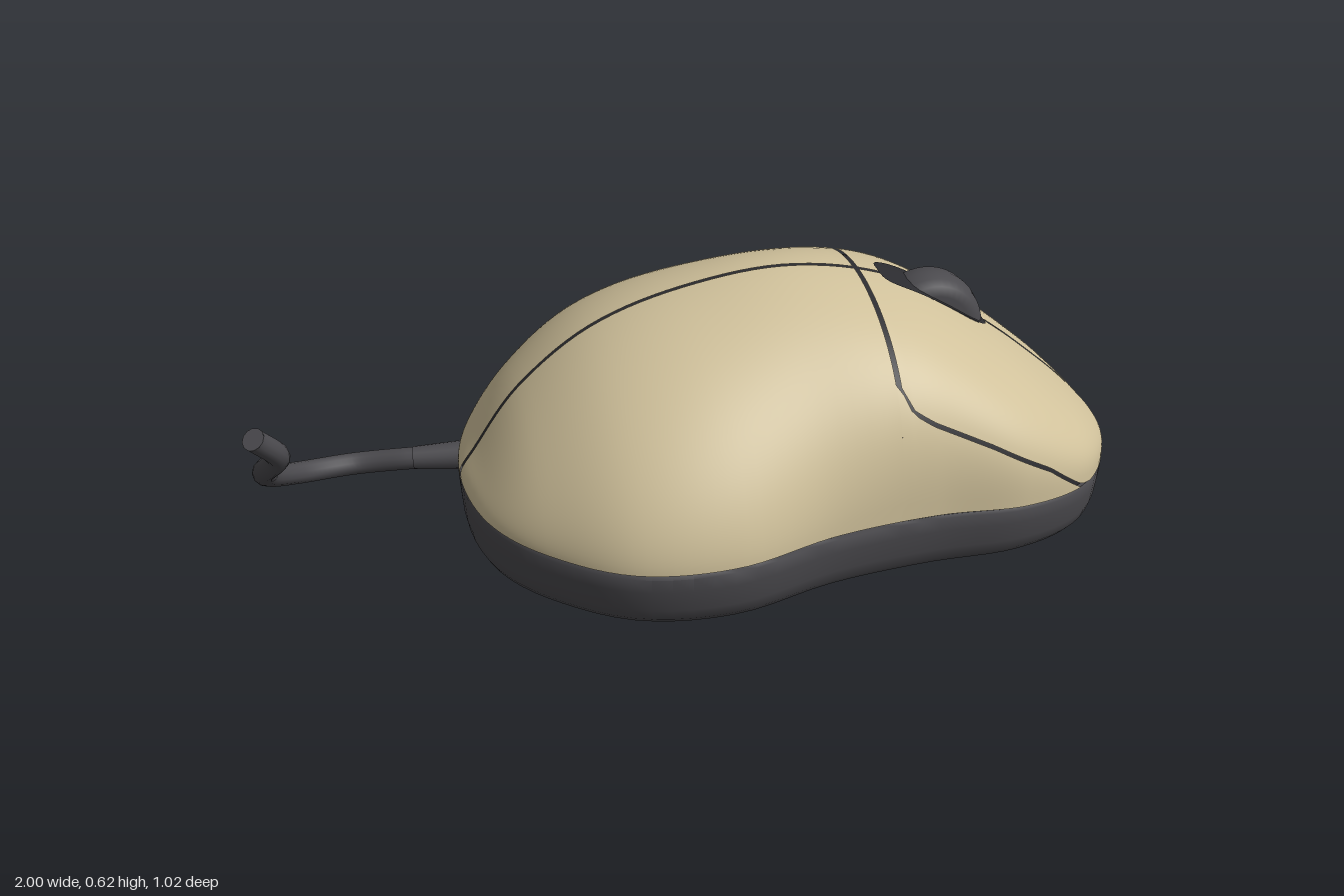
import * as THREE from 'three';
import { mergeVertices, toCreasedNormals } from 'three/addons/utils/BufferGeometryUtils.js';

const MID = 0.235, HALF = 0.765; // body centre and half length along x

// Body stations from tail to nose: half width, top height, seam height
const stations = new THREE.CatmullRomCurve3([
  [0, 0.17, 0.165], [0.21, 0.24, 0.165], [0.365, 0.39, 0.165], [0.485, 0.52, 0.168],
  [0.508, 0.592, 0.172], [0.437, 0.617, 0.172], [0.405, 0.567, 0.17], [0.397, 0.442, 0.16],
  [0.325, 0.307, 0.15], [0.17, 0.2, 0.138], [0, 0.14, 0.135],
].map((p) => new THREE.Vector3(...p)), false, 'catmullrom', 0.5);

const toX = (u) => MID - HALF * Math.cos(u * Math.PI);
const toU = (x) => Math.acos(THREE.MathUtils.clamp((MID - x) / HALF, -1, 1)) / Math.PI;

// Cross-section data; the flank is sloped at the tail and steep at the nose
function section(u) {
  const s = stations.getPoint(u), b = THREE.MathUtils.smoothstep(toX(u), 0, 0.5);
  return { w: Math.max(0, s.x), top: s.y, seam: s.z, p: 1.8 + 0.2 * b, q: 0.6 - 0.27 * b };
}

// Point on the upper shell; t runs from the ridge (0) to the seam (PI / 2)
function shellPoint(u, t, inset = 0) {
  const { w, top, seam, p, q } = section(u);
  const c = Math.max(0, Math.cos(t));
  return [
    MID + (toX(u) - MID) * (1 - inset),
    seam + (top - inset - seam) * Math.pow(c, 2 * q),
    w * (1 - 2 * inset) * Math.pow(Math.max(0, Math.sin(t)), 2 / p),
  ];
}

// Angle at a given sideways distance, and at a given height
function angleAtZ(u, z) {
  const { w, p } = section(u);
  return w <= z ? Math.PI / 2 : Math.asin(Math.pow(z / w, p / 2));
}
function angleAtY(u, y) {
  const { top, seam, q } = section(u);
  const f = THREE.MathUtils.clamp((y - seam) / (top - seam), 0, 1);
  return Math.acos(Math.pow(f, 1 / (2 * q)));
}

// Lower edge of the click buttons as height over x
const edge = [[0.385, 0.47], [0.4, 0.45], [0.415, 0.415], [0.46, 0.385], [0.6, 0.315],
  [0.74, 0.235], [0.84, 0.155], [1.01, 0.1]];
function edgeY(x) {
  const i = Math.max(1, edge.findIndex((e) => e[0] >= x));
  const [x0, y0] = edge[i - 1], [x1, y1] = edge[i];
  return THREE.MathUtils.mapLinear(x, x0, x1, y0, y1);
}

// Surface over a unit grid
function grid(fn, nu, nv, flip = false) {
  const pos = [], index = [];
  for (let i = 0; i <= nu; i++) {
    for (let j = 0; j <= nv; j++) pos.push(...fn(i / nu, j / nv));
  }
  for (let i = 0; i < nu; i++) {
    for (let j = 0; j < nv; j++) {
      const a = i * (nv + 1) + j, b = a + nv + 1;
      if (flip) index.push(a, b, a + 1, b, b + 1, a + 1);
      else index.push(a, a + 1, b, b, a + 1, b + 1);
    }
  }
  const g = new THREE.BufferGeometry();
  g.setAttribute('position', new THREE.Float32BufferAttribute(pos, 3));
  g.setIndex(index);
  const merged = mergeVertices(g, 1e-5);
  merged.computeVertexNormals();
  return merged;
}

export function createModel() {
  const group = new THREE.Group();
  const mat = (name, color) => new THREE.MeshStandardMaterial({ name, color });
  const beige = mat('beige plastic', 0xd0c19b);
  const dark = mat('dark grey plastic', 0x4b4a4e);
  const gap = mat('seam black', 0x2c2c30);
  const add = (name, geometry, material) => {
    const mesh = new THREE.Mesh(geometry, material);
    mesh.name = name;
    group.add(mesh);
    return mesh;
  };

  // Upper shell panels on each side, split by narrow gaps
  const patch = (x0, x1, tStart, tEnd, side, nu, nv, inset = 0) => grid((i, j) => {
    const u = THREE.MathUtils.lerp(toU(x0), toU(x1), i);
    const [x, y, z] = shellPoint(u, THREE.MathUtils.lerp(tStart(u), tEnd(u), j), inset);
    return [x, y, z * side];
  }, nu, nv, side < 0);
  const ridge = (u) => angleAtZ(u, 0.005);
  const seam = () => Math.PI / 2;
  for (const side of [1, -1]) {
    const label = side > 0 ? 'Left' : 'Right';
    add('palmShell' + label, patch(-0.53, 0.385, ridge, seam, side, 40, 32), beige);
    add('sidePanel' + label,
      patch(0.385, 0.845, (u) => angleAtY(u, edgeY(toX(u)) - 0.005), seam, side, 40, 14), beige);
    add('clickButton' + label,
      patch(0.396, 1, ridge, (u) => Math.max(ridge(u), angleAtY(u, edgeY(toX(u)) + 0.004)), side, 44, 28), beige);
    add('innerCore' + label, patch(-0.53, 1, () => 0, seam, side, 60, 28, 0.012), gap);
  }

  // Base tray: rings of the outline, [inset, height share from floor to seam]
  const rings = [[1, 0], [0.11, 0], [0.07, 0.06], [0.04, 0.17], [0.02, 0.36], [0.006, 0.7],
    [0, 0.93], [0.01, 0.98], [1, 0.98]];
  const base = grid((i, j) => {
    const [k, h] = rings[Math.round(i * (rings.length - 1))];
    const u = j <= 0.5 ? j * 2 : 2 - j * 2;
    const s = section(u);
    return [MID + (toX(u) - MID) * (1 - 0.35 * k), 0.02 + (s.seam - 0.02) * h,
      s.w * (1 - k) * (j <= 0.5 ? 1 : -1)];
  }, rings.length - 1, 96);
  add('baseTray', toCreasedNormals(base, 0.7), dark);

  // Wheel slot: thin rounded plate following the button surface
  add('wheelSlot', grid((r, j) => {
    const a = j * Math.PI * 2, c = Math.cos(a), s = Math.sin(a);
    const x = 0.572 + 0.13 * r * Math.sign(c) * Math.sqrt(Math.abs(c));
    const z = 0.068 * r * Math.sign(s) * Math.sqrt(Math.abs(s));
    const u = toU(x);
    return [x, shellPoint(u, angleAtZ(u, Math.abs(z)))[1] + 0.005, z];
  }, 8, 48), gap);

  // Scroll wheel
  const wheelProfile = [[0, -0.057], [0.09, -0.057], [0.112, -0.05], [0.124, -0.034], [0.128, 0],
    [0.124, 0.034], [0.112, 0.05], [0.09, 0.057], [0, 0.057]].map((p) => new THREE.Vector2(...p));
  const wheel = add('scrollWheel', new THREE.LatheGeometry(wheelProfile, 40), dark);
  wheel.rotation.x = Math.PI / 2;
  wheel.position.set(0.565, 0.437, 0);

  // Cord with a closed end and a thicker sleeve where it leaves the body
  const cordPath = new THREE.CatmullRomCurve3([
    [-0.46, 0.125, -0.165], [-0.53, 0.125, -0.17], [-0.63, 0.118, -0.19], [-0.76, 0.1, -0.225],
    [-0.88, 0.12, -0.18], [-0.95, 0.18, -0.08], [-0.96, 0.24, 0.0], [-0.925, 0.32, 0.08],
    [-0.972, 0.4, 0.135],
  ].map((p) => new THREE.Vector3(...p)));
  add('cord', new THREE.TubeGeometry(cordPath, 64, 0.026, 12), dark);
  const end = add('cordEnd', new THREE.CircleGeometry(0.026, 12), dark);
  end.position.copy(cordPath.getPoint(1));
  end.lookAt(end.position.clone().add(cordPath.getTangent(1)));
  const sleeve = add('cordSleeve', new THREE.CylinderGeometry(0.027, 0.037, 0.16, 16), dark);
  sleeve.position.set(-0.54, 0.124, -0.172);
  sleeve.quaternion.setFromUnitVectors(new THREE.Vector3(0, 1, 0),
    new THREE.Vector3(-1, -0.04, -0.16).normalize());

  // Glide feet
  for (const [x, z] of [[0.73, 0.24], [0.73, -0.24], [-0.27, 0.24], [-0.27, -0.24], [-0.355, 0]]) {
    add('glideFoot', new THREE.CylinderGeometry(0.055, 0.047, 0.026, 20), dark).position.set(x, 0.013, z);
  }
  return group;
}
